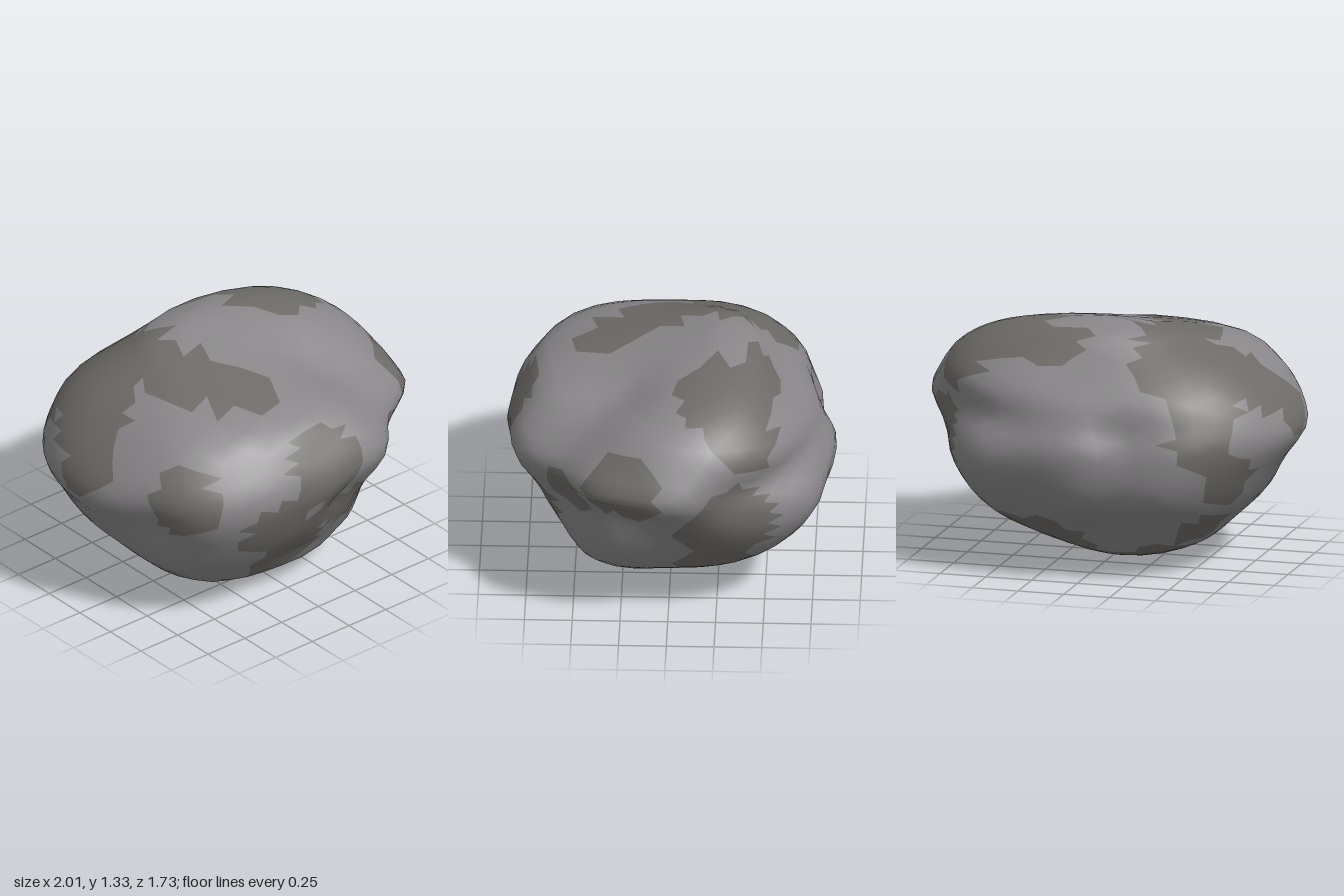
import * as THREE from 'three';
import { mergeVertices } from 'three/addons/utils/BufferGeometryUtils.js';

// Cross-sections from bottom to top: height, xMin, xMax, zMin, zMax,
// then the fullness of the corners (+x+z, -x+z, -x-z, +x-z), 1 being an ellipse
const SECTIONS = [
  [-0.01, -0.02, -0.02, 0.00, 0.00, 1, 1, 1, 1],
  [0.03, -0.30, 0.12, -0.25, 0.18, 1.2, 1, 1, 1],
  [0.10, -0.50, 0.34, -0.40, 0.44, 1.2, 1.05, 1.05, 1.05],
  [0.22, -0.63, 0.58, -0.53, 0.53, 1.14, 1.16, 1.08, 1.12],
  [0.36, -0.77, 0.69, -0.71, 0.65, 1.05, 1.13, 1.07, 1.15],
  [0.53, -0.88, 0.81, -0.82, 0.78, 0.96, 1.07, 1.05, 1.12],
  [0.70, -1.00, 0.93, -0.87, 0.87, 0.91, 1.01, 1.01, 1.02],
  [0.83, -0.97, 1.01, -0.81, 0.86, 0.91, 1.04, 1.05, 0.94],
  [0.97, -0.85, 0.93, -0.73, 0.77, 0.91, 1.08, 1.10, 1.06],
  [1.10, -0.68, 0.82, -0.58, 0.64, 0.88, 1.12, 1.15, 1.14],
  [1.20, -0.47, 0.66, -0.50, 0.28, 0.90, 1.08, 1.08, 1.10],
  [1.27, -0.30, 0.42, -0.43, -0.02, 1, 1, 1, 1],
  [1.32, -0.02, -0.02, -0.25, -0.25, 1, 1, 1, 1],
];

// Lumps and hollows: x, y, z, amount, width
const BUMPS = [
  // top hollow and the lobe in front of it
  [0.32, 1.10, 0.22, -0.06, 0.20], [0.45, 1.06, 0.40, -0.09, 0.24], [0.30, 0.88, 0.70, 0.05, 0.18],
  // front
  [0.42, 0.74, 0.72, 0.04, 0.14], [0.15, 0.60, 0.80, -0.06, 0.15],
  [-0.18, 0.70, 0.82, -0.04, 0.16], [-0.60, 0.70, 0.62, 0.03, 0.15], [-0.86, 0.66, 0.38, -0.05, 0.16],
  // +x side
  [0.85, 0.83, 0.38, 0.05, 0.15], [0.58, 0.54, 0.58, -0.04, 0.13], [0.86, 0.64, 0.24, -0.05, 0.15],
  [0.68, 0.42, 0.25, 0.05, 0.18], [0.90, 0.78, -0.36, -0.05, 0.16],
  // back
  [0.52, 0.66, -0.72, 0.04, 0.16], [0.30, 0.42, -0.74, -0.05, 0.16], [0.02, 0.45, -0.76, 0.03, 0.15],
  [-0.25, 0.75, -0.80, -0.08, 0.18], [-0.42, 0.50, -0.66, 0.04, 0.16],
];

// Darker mineral patches: x, y, z, radius
const PATCHES = [
  [-0.75, 1.00, -0.18, 0.24], [-0.42, 1.18, -0.28, 0.24], [-0.42, 1.10, -0.55, 0.17],
  [-0.62, 0.98, -0.52, 0.20], [-0.62, 0.76, -0.62, 0.17], [-0.70, 0.56, -0.45, 0.17],
  [-0.87, 0.82, -0.02, 0.18], [-0.55, 0.24, -0.35, 0.16],
  [-0.35, 1.18, 0.08, 0.22], [-0.20, 1.15, 0.30, 0.20],
  [0.50, 1.22, -0.30, 0.27], [0.20, 1.27, -0.55, 0.18], [0.70, 1.10, -0.40, 0.20],
  [0.90, 0.85, 0.25, 0.22], [0.64, 0.68, 0.56, 0.15],
  [0.00, 0.88, 0.80, 0.22], [-0.30, 0.58, 0.78, 0.20], [0.00, 0.53, 0.74, 0.14], [0.30, 0.48, 0.70, 0.17],
  [-0.10, 0.27, 0.60, 0.23], [-0.70, 0.80, 0.52, 0.19],
  [0.82, 0.60, -0.32, 0.26], [0.62, 0.25, -0.25, 0.23],
  [0.30, 0.13, -0.38, 0.27], [0.05, 0.03, -0.12, 0.25], [-0.24, 0.08, -0.20, 0.20],
];

// Catmull-Rom interpolation through four values
function spline(a, b, c, d, t) {
  return b + 0.5 * t * (c - a + t * (2 * a - 5 * b + 4 * c - d + t * (3 * (b - c) + d - a)));
}

function sectionAt(latitude) {
  const last = SECTIONS.length - 1;
  const s = (latitude / Math.PI + 0.5) * last;
  const i = Math.min(last - 1, Math.max(0, Math.floor(s)));
  const row = (k) => SECTIONS[Math.min(last, Math.max(0, k))];
  return SECTIONS[0].map((_, c) => spline(row(i - 1)[c], row(i)[c], row(i + 1)[c], row(i + 2)[c], s - i));
}

// Relative radius of a cross-section, easing between sides and corners
function outlineAt(angle, corners) {
  const s = (angle / (2 * Math.PI) + 1) * 8;
  const i = Math.floor(s);
  const r = (k) => (k % 2 ? corners[((k % 8) - 1) / 2] : 1);
  return spline(r(i - 1), r(i), r(i + 1), r(i + 2), s - i);
}

// Turn a direction on the unit sphere into a point on the boulder
function shapePoint(d) {
  const [y, x0, x1, z0, z1, ...corners] = sectionAt(Math.asin(THREE.MathUtils.clamp(d.y, -1, 1)));
  const angle = Math.atan2(d.z, d.x);
  const r = outlineAt(angle, corners);
  const p = new THREE.Vector3(
    (x0 + x1) / 2 + r * Math.cos(angle) * (x1 - x0) / 2,
    y,
    (z0 + z1) / 2 + r * Math.sin(angle) * (z1 - z0) / 2,
  );
  const out = p.clone().sub(new THREE.Vector3(0, 0.66, 0)).normalize();
  let push = 0;
  for (const [bx, by, bz, amount, width] of BUMPS) {
    const dist2 = p.distanceToSquared(new THREE.Vector3(bx, by, bz));
    push += amount * Math.exp(-dist2 / (width * width));
  }
  return p.addScaledVector(out, push);
}

export function createModel() {
  // One smooth closed skin
  let skin = new THREE.IcosahedronGeometry(1, 9);
  skin.deleteAttribute('uv');
  skin.deleteAttribute('normal');
  skin = mergeVertices(skin, 1e-4);
  const pos = skin.attributes.position;
  const v = new THREE.Vector3();
  for (let i = 0; i < pos.count; i++) {
    const p = shapePoint(v.fromBufferAttribute(pos, i).normalize());
    pos.setXYZ(i, p.x, p.y, p.z);
  }
  skin.computeVertexNormals();

  // Sort whole triangles into plain stone and mineral patches
  const stone = [], mineral = [];
  const index = skin.index.array;
  const centre = new THREE.Vector3();
  for (let i = 0; i < index.length; i += 3) {
    const tri = [index[i], index[i + 1], index[i + 2]];
    centre.set(0, 0, 0);
    tri.forEach((k) => centre.add(v.fromBufferAttribute(pos, k)));
    centre.divideScalar(3);
    const inPatch = PATCHES.some(([x, y, z, r]) => centre.distanceTo(v.set(x, y, z)) < r);
    (inPatch ? mineral : stone).push(...tri);
  }

  const group = new THREE.Group();
  group.name = 'boulder';
  const addPart = (name, tris, color) => {
    const g = new THREE.BufferGeometry();
    g.setAttribute('position', pos);
    g.setAttribute('normal', skin.attributes.normal);
    g.setIndex(tris);
    const mesh = new THREE.Mesh(g, new THREE.MeshStandardMaterial({ color }));
    mesh.name = name;
    group.add(mesh);
  };
  addPart('stoneSurface', stone, 0x888688);
  addPart('mineralPatches', mineral, 0x6d6b67);
  return group;
}
